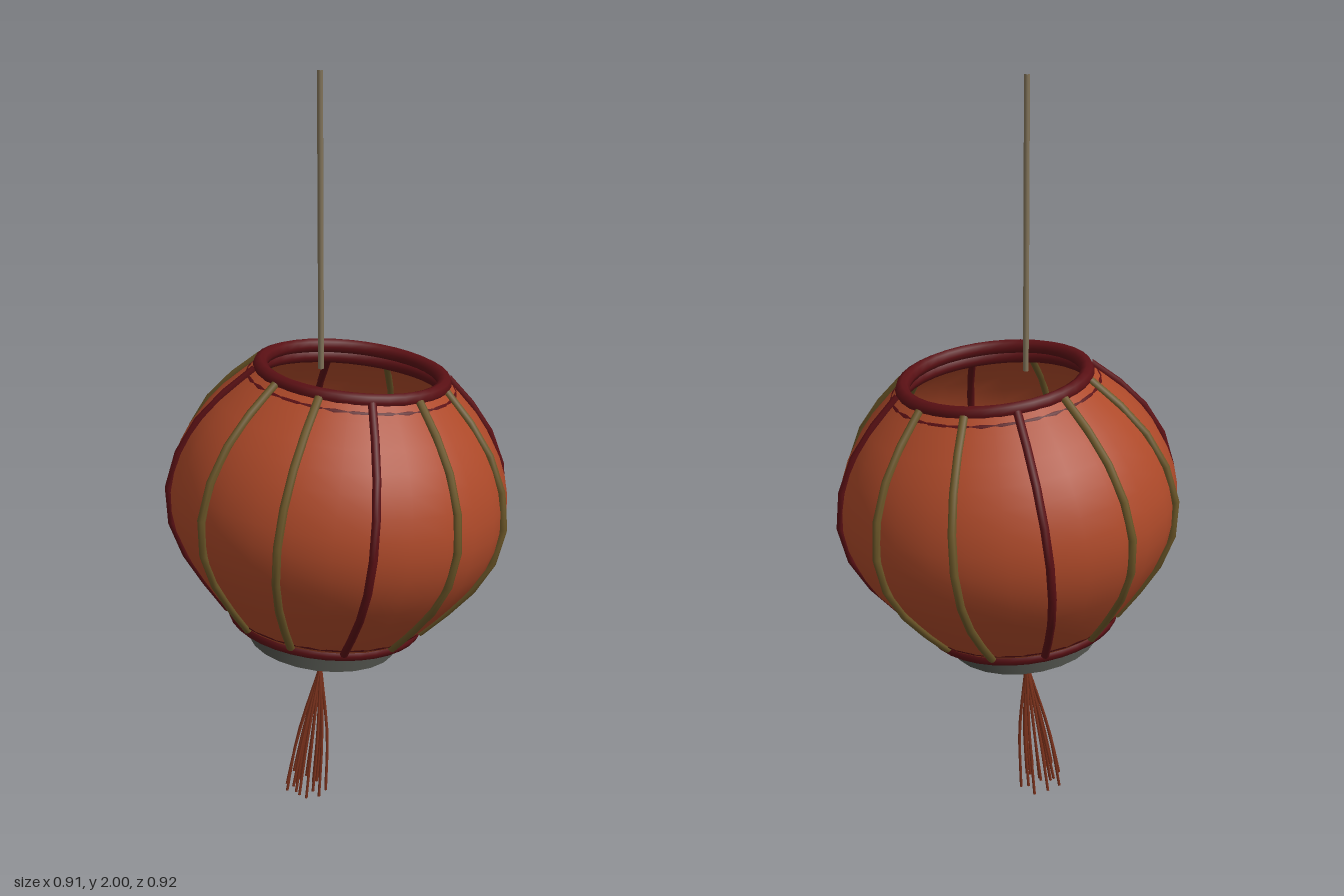
import * as THREE from 'three';

const mat = (name, color, side = THREE.FrontSide) => {
  const m = new THREE.MeshStandardMaterial({ color, side });
  m.name = name;
  return m;
};

export function createModel() {
  const paper = mat('orange paper', 0xad4929, THREE.DoubleSide);
  const red = mat('dark red lacquer', 0x5a1014);
  const bamboo = mat('olive bamboo', 0x6a5527);
  const grey = mat('grey metal', 0x4e504a);
  const wax = mat('brown wax', 0x6a4f26);
  const cordMat = mat('tan cord', 0x82745a);
  const thread = mat('rust thread', 0x7c321c);

  const model = new THREE.Group();
  model.name = 'hangingLantern';
  const add = (parent, name, geometry, material, y = 0) => {
    const mesh = new THREE.Mesh(geometry, material);
    mesh.name = name;
    mesh.position.y = y;
    parent.add(mesh);
    return mesh;
  };

  // Lantern body hangs slightly tilted
  const body = new THREE.Group();
  body.name = 'lanternBody';
  body.position.y = 0.895;
  body.rotation.z = -0.107;
  model.add(body);

  // Radius and height from bottom rim to top rim
  const profile = [
    [0.262, -0.33], [0.33, -0.25], [0.415, -0.125], [0.445, 0],
    [0.42, 0.125], [0.355, 0.235], [0.25, 0.34],
  ];
  const shellCurve = new THREE.SplineCurve(profile.map(([r, y]) => new THREE.Vector2(r, y)));
  add(body, 'paperShell', new THREE.LatheGeometry(shellCurve.getPoints(14), 28), paper);

  // Ribs: every third one is red, the rest bamboo
  const ribCurve = new THREE.CatmullRomCurve3(profile.map(([r, y]) => new THREE.Vector3(r + 0.003, y, 0)));
  const ribGeometry = new THREE.TubeGeometry(ribCurve, 8, 0.011, 8);
  for (let i = 0; i < 12; i++) {
    const isRed = i % 3 === 0;
    const rib = add(body, isRed ? 'redRib' : 'bambooRib', ribGeometry, isRed ? red : bamboo);
    rib.rotation.y = (i * Math.PI) / 6;
  }

  // Paired hoops at both openings
  const hoops = [
    ['topHoop', 0.238, 0.343], ['topHoop', 0.258, 0.308],
    ['bottomHoop', 0.258, -0.308], ['bottomHoop', 0.246, -0.339],
  ];
  for (const [name, radius, y] of hoops) {
    add(body, name, new THREE.TorusGeometry(radius, 0.019, 8, 36).rotateX(Math.PI / 2), red, y);
  }

  // Base plate with the candle holder inside
  add(body, 'basePlate', new THREE.CylinderGeometry(0.2, 0.2, 0.048, 24), grey, -0.391);
  add(body, 'candleDish', new THREE.CylinderGeometry(0.143, 0.143, 0.03, 24), wax, -0.354);
  add(body, 'candleSocket', new THREE.CylinderGeometry(0.065, 0.065, 0.05, 20), grey, -0.315);

  // Hanging cord
  const cord = add(model, 'hangingCord', new THREE.CylinderGeometry(0.0075, 0.0075, 0.75, 8, 1, true), cordMat, 1.625);
  cord.position.x = -0.045;

  // Tassel: threads fan out from one knot and drift to one side
  const tassel = new THREE.Group();
  tassel.name = 'tassel';
  model.add(tassel);
  const count = 18;
  for (let i = 0; i < count; i++) {
    const a = (i / count) * Math.PI * 2;
    const spread = i % 3 === 2 ? 0.6 : 1;
    const c = Math.cos(a) * spread, s = Math.sin(a) * spread;
    const endY = 0.005 + ((i * 7) % 5) * 0.011;
    const path = new THREE.CatmullRomCurve3([
      new THREE.Vector3(-0.05, 0.4, 0),
      new THREE.Vector3(-0.074 + c * 0.042, 0.18, s * 0.038),
      new THREE.Vector3(-0.092 + c * 0.055, endY, s * 0.054),
    ]);
    add(tassel, 'tasselThread', new THREE.TubeGeometry(path, 6, 0.004, 5), thread);
  }

  return model;
}
